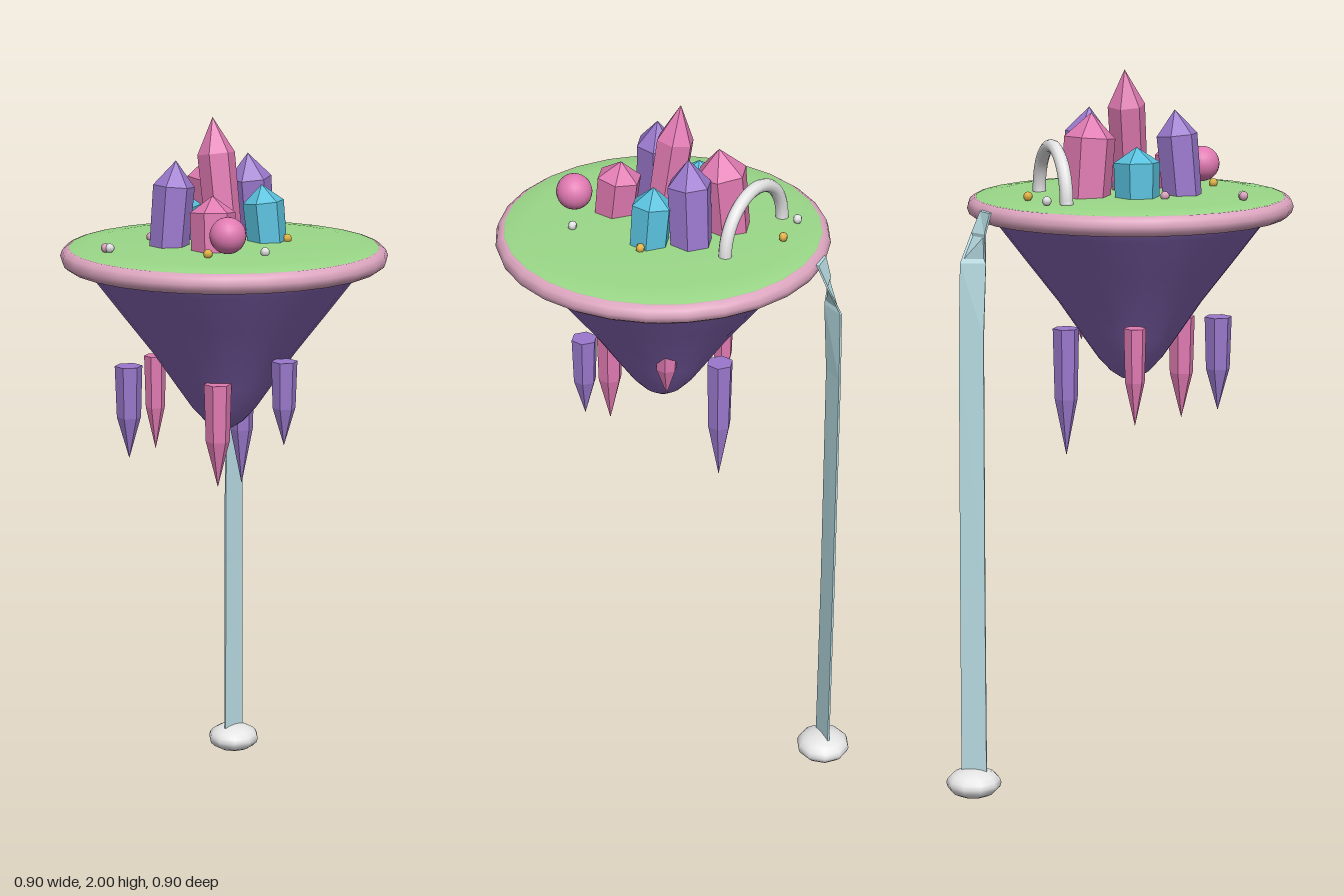
import * as THREE from 'three';

const mat = (name, color) => {
  const m = new THREE.MeshStandardMaterial({ color });
  m.name = name;
  return m;
};

export function createModel() {
  const model = new THREE.Group();
  model.name = 'floatingIsland';

  const grass = mat('grass green', 0x9ad888);
  const rock = mat('rock purple', 0x8868b8);
  const rose = mat('pale rose', 0xdda6c0);
  const pink = mat('crystal pink', 0xe07ab2);
  const violet = mat('crystal violet', 0x9a78cc);
  const teal = mat('crystal teal', 0x58c0dc);
  const white = mat('cloud white', 0xe6e6e6);
  const gold = mat('gold', 0xe2b548);
  const water = mat('water blue', 0xb8dde4);
  water.side = THREE.DoubleSide;

  const add = (name, geo, material, x = 0, y = 0, z = 0) => {
    const mesh = new THREE.Mesh(geo, material);
    mesh.name = name;
    mesh.position.set(x, y, z);
    model.add(mesh);
    return mesh;
  };
  const lathe = (pts, segs, start = 0) =>
    new THREE.LatheGeometry(pts.map(([r, y]) => new THREE.Vector2(r, y)), segs, start);
  const faceted = (geo) => {
    const g = geo.toNonIndexed();
    g.computeVertexNormals();
    return g;
  };

  // Island: low grassy dome, rolled rim and tapering rock
  add('grassTop', lathe([[0, 1.635], [0.42, 1.635], [0.436, 1.644], [0.425, 1.653],
    [0.36, 1.661], [0.2, 1.666], [0, 1.668]], 28), grass);
  const rim = add('rim', new THREE.TorusGeometry(0.422, 0.028, 10, 28), rose, 0, 1.625, 0);
  rim.rotation.set(Math.PI / 2, 0, 0);
  add('rock', lathe([[0, 1.135], [0.025, 1.142], [0.055, 1.162], [0.09, 1.2], [0.14, 1.272],
    [0.2, 1.36], [0.285, 1.47], [0.365, 1.575], [0.39, 1.61], [0.4, 1.635]], 28), rock);

  // Standing crystals leaning inward: material, base x z, tip x y z, radius
  const up = new THREE.Vector3(0, 1, 0);
  [
    [pink, 0.005, 0, -0.05, 2.0, 0, 0.052],
    [violet, -0.03, -0.132, -0.03, 1.895, -0.108, 0.061],
    [pink, -0.152, -0.078, -0.132, 1.89, -0.068, 0.071],
    [teal, -0.132, 0.062, -0.126, 1.8, 0.058, 0.064],
    [violet, -0.038, 0.162, -0.036, 1.895, 0.138, 0.057],
    [pink, 0.095, 0.115, 0.08, 1.81, 0.105, 0.062],
    [teal, 0.075, -0.093, 0.058, 1.82, -0.085, 0.057],
  ].forEach(([m, bx, bz, tx, ty, tz, r]) => {
    const axis = new THREE.Vector3(tx - bx, ty - 1.65, tz - bz);
    const h = axis.length();
    const geo = lathe([[0, 0], [r * 0.95, 0], [r, h * 0.72], [0, h]], 6, Math.PI / 6);
    add('crystal', faceted(geo), m, bx, 1.65, bz).quaternion.setFromUnitVectors(up, axis.normalize());
  });

  // Hanging crystals: material, x, z, top y, tip y, radius
  [
    [pink, 0.115, 0.115, 1.3, 1.01, 0.038],
    [violet, 0.235, -0.02, 1.365, 1.13, 0.036],
    [pink, 0.05, -0.16, 1.41, 1.23, 0.033],
    [violet, -0.108, -0.152, 1.29, 0.93, 0.037],
    [pink, -0.21, 0.08, 1.32, 1.05, 0.031],
    [violet, -0.075, 0.275, 1.34, 1.08, 0.038],
  ].forEach(([m, x, z, top, tip, r]) => {
    const h = top - tip;
    const geo = lathe([[0, 0], [r * 0.88, h * 0.45], [r, h], [0, h]], 6, Math.PI / 6);
    add('hangingCrystal', faceted(geo), m, x, tip, z);
  });

  // Arch and ball on the grass
  const arch = add('arch', new THREE.TorusGeometry(0.138, 0.018, 10, 24, Math.PI), white, -0.198, 1.665, -0.157);
  arch.rotation.y = 0.605;
  [[-0.312, -0.078], [-0.085, -0.235]].forEach(([x, z]) =>
    add('archFoot', new THREE.SphereGeometry(0.018, 10, 8), white, x, 1.665, z));
  add('ball', new THREE.SphereGeometry(0.049, 20, 14), pink, 0.199, 1.722, 0.148);

  // Pebble flowers
  const pebble = new THREE.SphereGeometry(0.013, 6, 5);
  [
    [gold, -0.262, -0.205], [white, -0.337, -0.125], [rose, -0.143, 0.143],
    [rose, -0.08, 0.345], [white, -0.069, 0.339], [gold, 0.167, 0.19],
    [white, 0.238, 0.052], [gold, 0.113, -0.131], [rose, -0.021, -0.06],
  ].forEach(([m, x, z]) => add('flower', pebble, m, x, 1.673, z));

  // Waterfall: thin ribbon that twists over the rim; rows are x, y, z, half width in x and z
  const rows = [
    [-0.308, 1.645, -0.28, -0.02, 0.02],
    [-0.332, 1.635, -0.3, -0.02, 0.021],
    [-0.347, 1.58, -0.315, -0.015, 0.024],
    [-0.358, 1.5, -0.328, 0.008, 0.034],
    [-0.364, 1.3, -0.333, 0.004, 0.034],
    [-0.37, 0.6, -0.336, 0.003, 0.035],
    [-0.372, 0.04, -0.338, 0.003, 0.036],
  ];
  const pos = [], index = [];
  rows.forEach(([x, y, z, wx, wz], i) => {
    const k = 0.003 / Math.hypot(wx, wz);
    [[1, 1], [1, -1], [-1, -1], [-1, 1]].forEach(([s, t]) =>
      pos.push(x + s * wx + t * wz * k, y, z + s * wz - t * wx * k));
    if (!i) return;
    for (let j = 0; j < 4; j++) {
      const a = (i - 1) * 4 + j, b = (i - 1) * 4 + (j + 1) % 4;
      index.push(a, b, a + 4, b, b + 4, a + 4);
    }
  });
  const ribbon = new THREE.BufferGeometry();
  ribbon.setAttribute('position', new THREE.Float32BufferAttribute(pos, 3));
  ribbon.setIndex(index);
  add('waterfall', faceted(ribbon), water);

  // Cloud of mist at the foot
  add('mist', new THREE.SphereGeometry(0.077, 10, 10), white, -0.373, 0.04, -0.339).scale.y = 0.52;

  return model;
}
